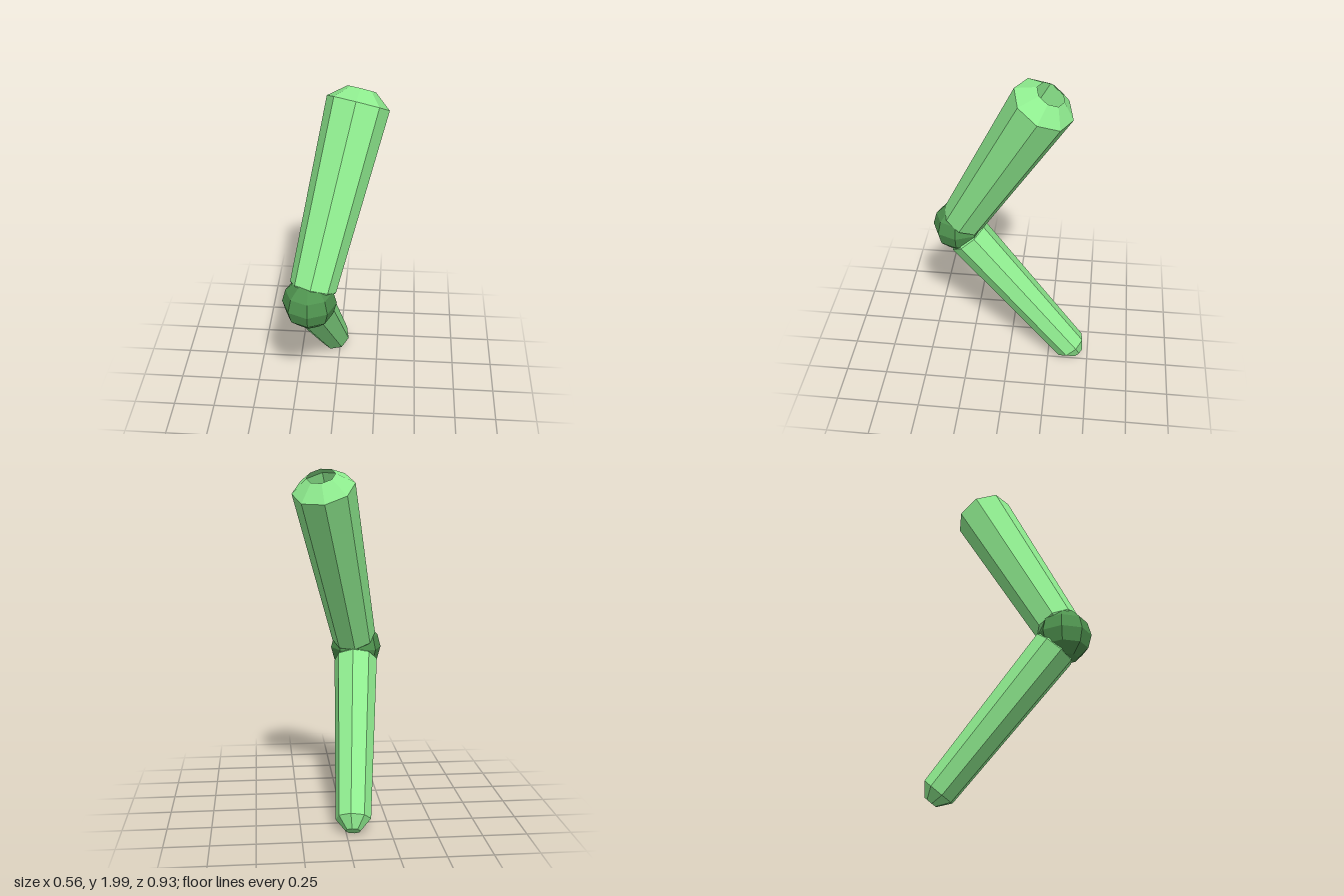
import * as THREE from 'three';

const KNEE = new THREE.Vector3(-0.128, 0.925, 0.315);

const flat = (color) => new THREE.MeshStandardMaterial({ color, flatShading: true, side: THREE.DoubleSide });

// Eight-sided tapered limb running from the knee towards a target point.
// Profile entries are [radius, distance from the knee].
function limb(name, target, profile, twist, material) {
  const points = profile.map(([r, d]) => new THREE.Vector2(r, d));
  const geometry = new THREE.LatheGeometry(points, 8);
  geometry.rotateY(twist);

  const axis = target.clone().sub(KNEE).normalize();
  const side = new THREE.Vector3(1, 0, 0).addScaledVector(axis, -axis.x).normalize();
  const front = side.clone().cross(axis);

  const mesh = new THREE.Mesh(geometry, material);
  mesh.name = name;
  mesh.quaternion.setFromRotationMatrix(new THREE.Matrix4().makeBasis(side, axis, front));
  mesh.position.copy(KNEE);
  return mesh;
}

export function createModel() {
  const model = new THREE.Group();
  model.name = 'bentLeg';
  const skin = flat(0x90ee90);

  // Thigh: widens upwards to a bevelled end with an open socket
  model.add(limb('thigh', new THREE.Vector3(0.105, 1.9, -0.19),
    [[0.06, 0.01], [0.132, 0.085], [0.175, 1.122], [0.08, 1.198]], -0.03, skin));

  // Shin: narrows downwards to a closed, bevelled tip
  model.add(limb('shin', new THREE.Vector3(-0.04, 0.09, -0.39),
    [[0.06, 0.02], [0.13, 0.09], [0.1, 1.096], [0.042, 1.165], [0, 1.165]], 0.21, skin));

  // Knee joint: low-poly ball
  const knee = new THREE.Mesh(new THREE.SphereGeometry(0.153, 8, 6), flat(0x4f934f));
  knee.name = 'knee';
  knee.position.copy(KNEE);
  model.add(knee);

  return model;
}
